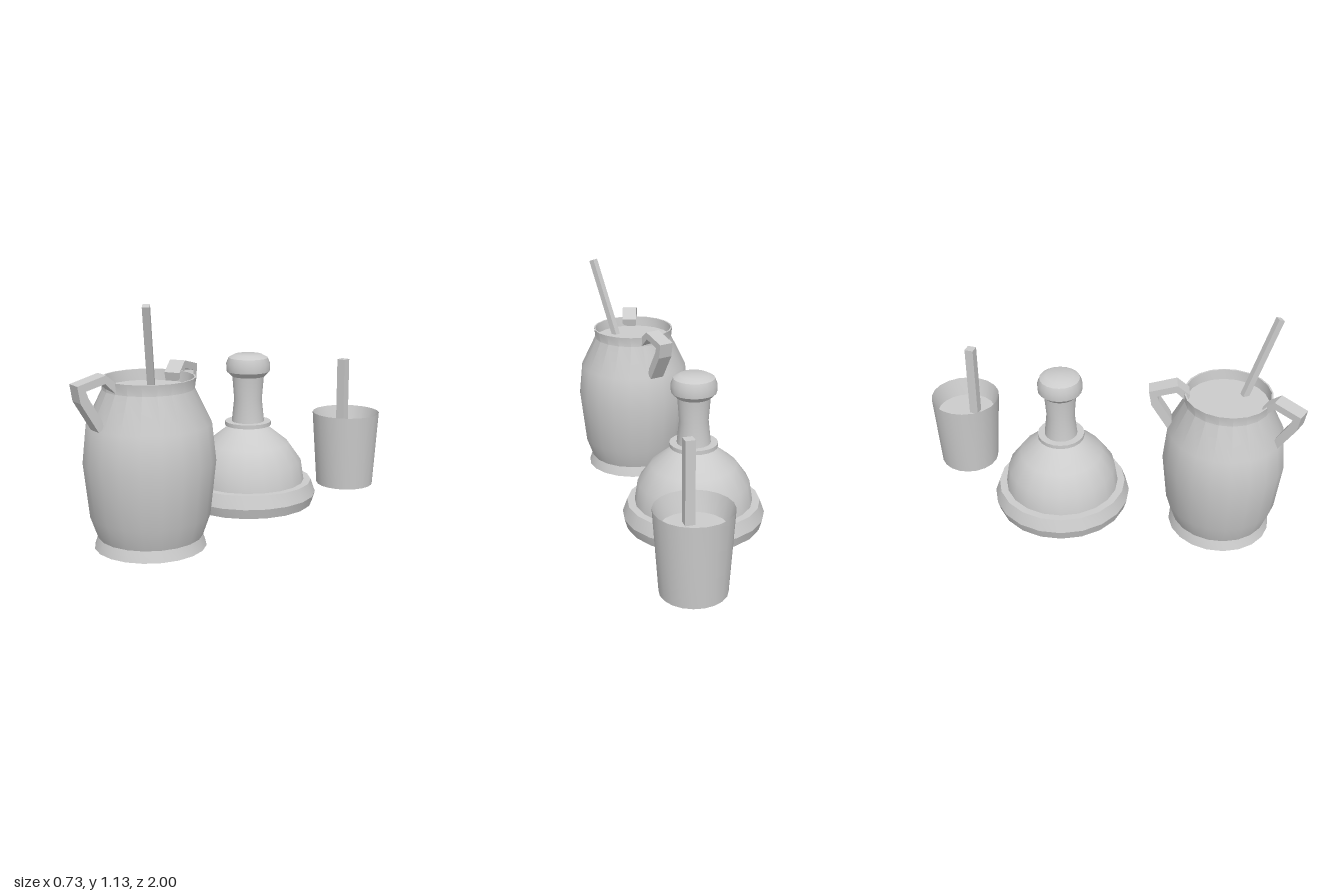
import * as THREE from 'three';
import { toCreasedNormals } from 'three/addons/utils/BufferGeometryUtils.js';

const material = new THREE.MeshStandardMaterial({ color: 0xcccccc });

function part(name, geometry, parent) {
  const mesh = new THREE.Mesh(geometry, material);
  mesh.name = name;
  parent.add(mesh);
  return mesh;
}

// Twenty-sided turned body; profile points are [radius, height] from the base up
function turned(profile) {
  const points = profile.map(([r, y]) => new THREE.Vector2(r, y));
  return toCreasedNormals(new THREE.LatheGeometry(points, 20), 0.6);
}

function vessel(name, x, z, parent) {
  const group = new THREE.Group();
  group.name = name;
  group.position.set(x, 0, z);
  parent.add(group);
  return group;
}

// Square rod between two points, turned about its own axis by twist
function rod(name, from, to, width, twist, parent) {
  const a = new THREE.Vector3(...from), b = new THREE.Vector3(...to);
  const dir = b.clone().sub(a);
  const mesh = part(name, new THREE.BoxGeometry(width, dir.length(), width), parent);
  mesh.position.copy(a).add(b).multiplyScalar(0.5);
  mesh.quaternion.setFromUnitVectors(new THREE.Vector3(0, 1, 0), dir.normalize());
  mesh.rotateY(twist);
  return mesh;
}

// Angular loop handle, drawn as [distance from axis, height]
function handleGeometry() {
  const outline = [
    [0.19, 0.775], [0.25, 0.825], [0.385, 0.79], [0.372, 0.715], [0.29, 0.58], [0.265, 0.6],
    [0.275, 0.635], [0.335, 0.735], [0.345, 0.765], [0.255, 0.788], [0.2, 0.735],
  ];
  const shape = new THREE.Shape(outline.map(([r, y]) => new THREE.Vector2(r, y)));
  const geometry = new THREE.ExtrudeGeometry(shape, { depth: 0.076, bevelEnabled: false });
  return geometry.translate(0, 0, -0.038);
}

export function createModel() {
  const model = new THREE.Group();
  model.name = 'vesselSet';

  // Two-handled jar with its contents just below the rim
  const jar = vessel('jar', 0.065, 0.62, model);
  part('jarBody', turned([
    [0, 0.01], [0.255, 0.01], [0.238, 0.06], [0.273, 0.16], [0.3, 0.41], [0.282, 0.58],
    [0.206, 0.735], [0.212, 0.785], [0.204, 0.785], [0.198, 0.735],
  ]), jar);
  part('jarContents', turned([[0.199, 0.735], [0, 0.735]]), jar);
  const handle = handleGeometry();
  for (const side of [1, -1]) {
    const mesh = part(side > 0 ? 'frontHandle' : 'backHandle', handle, jar);
    mesh.position.x = 0.028;
    mesh.rotation.y = -side * (Math.PI / 2 + 0.285);
  }
  // Leaning stirring stick
  rod('jarStick', [0.08, 0.73, 0.064], [0.169, 1.125, 0.184], 0.031, 0.64, jar);

  // Domed lid with a flared base, collar and knobbed stem
  const lid = vessel('domedLid', -0.018, -0.2, model);
  part('base', turned([[0, 0.01], [0.335, 0.01], [0.35, 0.06], [0.327, 0.125], [0.28, 0.125]]), lid);
  part('dome', turned([[0.29, 0.124], [0.274, 0.228], [0.21, 0.318], [0.1, 0.405], [0.07, 0.415]]), lid);
  part('collar', turned([[0.07, 0.411], [0.118, 0.411], [0.118, 0.431], [0.07, 0.431]]), lid);
  part('stem', turned([[0.083, 0.43], [0.071, 0.545], [0.081, 0.67]]), lid);
  part('knob', turned([
    [0.06, 0.665], [0.085, 0.665], [0.11, 0.69], [0.112, 0.73], [0.1, 0.76], [0.07, 0.776], [0, 0.776],
  ]), lid);

  // Tapered cup with an upright stick
  const cup = vessel('cup', 0.18, -0.819, model);
  part('cupBody', turned([[0, 0], [0.154, 0], [0.181, 0.4], [0.154, 0.305]]), cup);
  part('cupContents', turned([[0.155, 0.305], [0, 0.305]]), cup);
  rod('cupStick', [0.008, 0.3, 0.049], [0.008, 0.7, 0.049], 0.046, 0, cup);

  return model;
}
